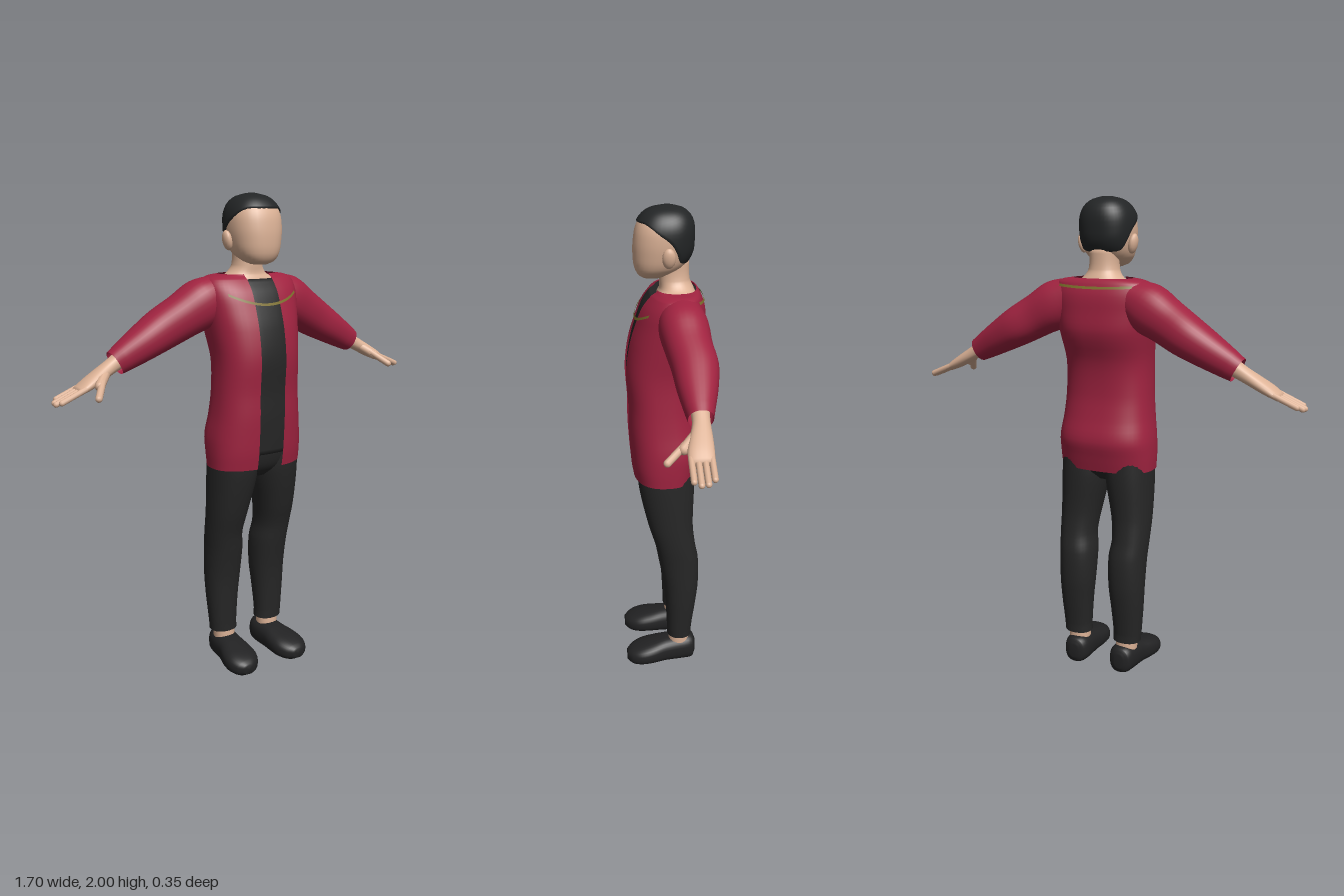
import * as THREE from 'three';
import { mergeVertices } from 'three/addons/utils/BufferGeometryUtils.js';

const mat = (name, color) => new THREE.MeshStandardMaterial({ name, color, side: THREE.DoubleSide });

// Smooth interpolation of rows [key, ...values] at a key
function at(rows, key) {
  let i = 0;
  while (i < rows.length - 2 && key > rows[i + 1][0]) i++;
  const a = rows[i], b = rows[i + 1], h = b[0] - a[0];
  const t = THREE.MathUtils.clamp((key - a[0]) / h, 0, 1);
  const slope = (j, c) => {
    const p = rows[Math.max(j - 1, 0)], q = rows[Math.min(j + 1, rows.length - 1)];
    return (q[c] - p[c]) / (q[0] - p[0]);
  };
  return a.map((v, c) => c === 0 ? key
    : v * (1 + 2 * t) * (1 - t) ** 2 + b[c] * t * t * (3 - 2 * t)
      + h * (slope(i, c) * t * (1 - t) ** 2 + slope(i + 1, c) * t * t * (t - 1)));
}

// Grid surface from fn(i, j) -> [x, y, z]
function grid(fn, nu, nv) {
  const pos = [], idx = [];
  for (let j = 0; j <= nv; j++) for (let i = 0; i <= nu; i++) pos.push(...fn(i, j));
  for (let j = 0; j < nv; j++) for (let i = 0; i < nu; i++) {
    const a = j * (nu + 1) + i, c = a + nu + 1;
    idx.push(a, c, a + 1, a + 1, c, c + 1);
  }
  let g = new THREE.BufferGeometry();
  g.setAttribute('position', new THREE.Float32BufferAttribute(pos, 3));
  g.setIndex(idx);
  g = mergeVertices(g, 1e-5);
  g.computeVertexNormals();
  return g;
}

const spow = (v, e) => Math.sign(v) * Math.abs(v) ** e;

// Point on a cross-section row [y, cx, cz, rx, rz]
function ring([y, cx, cz, rx, rz], th, p, s = 1) {
  return [cx + s * rx * spow(Math.cos(th), 2 / p), y, cz + s * rz * spow(Math.sin(th), 2 / p)];
}

// Loft along y; gap leaves an opening of that half width at the front
function loft(rows, { p = 2.2, n = 32, sub = 4, cap = true, gap = 0, scale = 1 } = {}) {
  const last = (rows.length - 1) * sub, e = cap ? 1 : 0;
  return grid((i, j) => {
    const k = THREE.MathUtils.clamp(j - e, 0, last);
    const r = Math.min(Math.floor(k / sub), rows.length - 2);
    const row = at(rows, THREE.MathUtils.lerp(rows[r][0], rows[r + 1][0], k / sub - r));
    const h = gap ? Math.asin((gap / row[3]) ** (p / 2)) : 0;
    const th = Math.PI / 2 + h + (i % n === 0 && !gap ? 0 : i / n) * (2 * Math.PI - 2 * h);
    return ring(row, th, p, cap && (j === 0 || j === last + 2) ? 0 : scale);
  }, n, last + 2 * e);
}

// Rounded rod between two points
function rod(a, b, r) {
  const A = new THREE.Vector3(...a), B = new THREE.Vector3(...b), d = B.clone().sub(A);
  const g = new THREE.CapsuleGeometry(r, d.length() - r, 5, 10);
  g.applyQuaternion(new THREE.Quaternion().setFromUnitVectors(new THREE.Vector3(0, 1, 0), d.clone().normalize()));
  const c = A.add(B).multiplyScalar(0.5);
  return g.translate(c.x, c.y, c.z);
}

const TORSO = [
  [0.9, 0, 0.002, 0.205, 0.128], [0.96, 0, 0, 0.207, 0.14], [1.03, 0, -0.004, 0.205, 0.15],
  [1.12, 0, 0.008, 0.193, 0.143], [1.22, 0, 0.015, 0.185, 0.136], [1.35, 0, 0.015, 0.182, 0.144],
  [1.47, 0, -0.012, 0.195, 0.155], [1.56, 0, -0.025, 0.205, 0.14], [1.62, 0, -0.035, 0.21, 0.125],
  [1.665, 0, -0.045, 0.2, 0.1], [1.68, 0, -0.05, 0.17, 0.085], [1.686, 0, -0.047, 0.125, 0.08]];
const HEAD = [
  [1.725, 0, 0.045, 0.03, 0.035], [1.738, 0, 0.042, 0.062, 0.058], [1.77, 0, 0.02, 0.09, 0.095],
  [1.82, 0, 0.006, 0.104, 0.114], [1.87, 0, 0.002, 0.109, 0.116], [1.92, 0, -0.003, 0.105, 0.111],
  [1.96, 0, -0.008, 0.086, 0.093], [1.985, 0, -0.01, 0.056, 0.062], [1.997, 0, -0.012, 0.015, 0.02]];
const HAIRLINE = [[-1, 1.785], [-0.55, 1.8], [-0.2, 1.865], [0.3, 1.915], [0.7, 1.938], [1, 1.94]];
const LEG = [
  [0.14, 0.118, -0.06, 0.06, 0.053], [0.18, 0.12, -0.06, 0.061, 0.054], [0.3, 0.12, -0.065, 0.07, 0.065],
  [0.4, 0.117, -0.066, 0.077, 0.075], [0.52, 0.117, -0.055, 0.08, 0.085], [0.6, 0.124, -0.04, 0.077, 0.085],
  [0.7, 0.119, -0.02, 0.084, 0.095], [0.86, 0.103, -0.005, 0.099, 0.115], [0.97, 0.1, 0, 0.098, 0.118]];
const SHOE = [
  [-0.132, 0.11, -0.06, 0.02, 0.03], [-0.12, 0.11, -0.06, 0.045, 0.054], [-0.08, 0.11, -0.061, 0.058, 0.06],
  [0, 0.115, -0.056, 0.063, 0.056], [0.06, 0.122, -0.05, 0.074, 0.05], [0.11, 0.126, -0.044, 0.074, 0.044],
  [0.15, 0.129, -0.038, 0.055, 0.035], [0.174, 0.13, -0.036, 0.024, 0.02]];
const SLEEVE = [
  [-0.09, 0, -0.055, 0.072, 0.08], [0, 0, -0.06, 0.099, 0.095], [0.1, 0, -0.07, 0.09, 0.09],
  [0.2, 0, -0.085, 0.083, 0.087], [0.3, 0, -0.085, 0.071, 0.075], [0.4, 0, -0.083, 0.057, 0.055],
  [0.44, 0, -0.083, 0.05, 0.046]];
const HAND = [
  [0.4, 0, -0.083, 0.035, 0.034], [0.46, 0, -0.082, 0.029, 0.033], [0.52, 0, -0.076, 0.026, 0.041],
  [0.58, 0, -0.07, 0.022, 0.047], [0.63, 0, -0.069, 0.014, 0.045]];

export function createModel() {
  const model = new THREE.Group();
  const red = mat('jacket red', 0xa02340), black = mat('cloth black', 0x262626);
  const hairBlack = mat('hair black', 0x232526), shoeBlack = mat('shoe black', 0x222223);
  const skin = mat('skin', 0xdcb296), gold = mat('braid olive gold', 0x7d6f2c);
  const add = (parent, name, geo, material) => {
    const m = new THREE.Mesh(geo, material);
    m.name = name;
    parent.add(m);
    return m;
  };

  // Torso and clothing
  add(model, 'jacket', loft(TORSO, { p: 2.5, n: 48, cap: false, gap: 0.06 }), red);
  add(model, 'shirt', loft(TORSO.slice(1, 10), { p: 2.5, n: 48, scale: 0.95 }), black);
  add(model, 'trouserSeat', loft([[0.85, 0, 0, 0.07, 0.06], [0.89, 0, 0, 0.16, 0.1],
    [0.94, 0, 0, 0.188, 0.118], [1, 0, 0, 0.19, 0.125]]), black);

  // Thin braid lying on the chest and the upper back
  const braid = (side, yAt) => grid((i, j) => {
    const x = (i / 32 - 0.5) * 0.32, y = yAt(x) + (j - 0.5) * 0.01;
    const [, , cz, rx, rz] = at(TORSO, y);
    const z = rz * (1 - Math.abs(x / rx) ** 2.5) ** 0.4 + 0.005;
    return [x, y, cz + side * z];
  }, 32, 1);
  add(model, 'frontBraid', braid(1, x => 1.57 + 1.6 * x * x), gold);
  add(model, 'backBraid', braid(-1, x => 1.652 + 0.2 * x * x), gold);

  // Head, neck and hair
  add(model, 'neck', loft([[1.64, 0, -0.05, 0.135, 0.082], [1.665, 0, -0.05, 0.122, 0.076],
    [1.686, 0, -0.05, 0.085, 0.067], [1.72, 0, -0.042, 0.062, 0.06], [1.8, 0, -0.04, 0.06, 0.06]]), skin);
  add(model, 'head', loft(HEAD, { p: 2.3 }), skin);
  add(model, 'hair', grid((i, j) => {
    const th = (i % 48) / 48 * 2 * Math.PI, low = at(HAIRLINE, Math.sin(th))[1];
    const t = Math.max(j - 1, 0) / 14;
    const y = THREE.MathUtils.lerp(low, 1.997, Math.sin(Math.min(t, 1) * Math.PI / 2));
    const pt = ring(at(HEAD, y), th, 2.3, j === 0 ? 0.99 : j === 16 ? 0 : 1.05);
    pt[1] += j ? 0.003 : 0;
    return pt;
  }, 48, 16), hairBlack);

  // Paired parts, made for the left and mirrored
  for (const s of [1, -1]) {
    const half = new THREE.Group();
    half.name = s > 0 ? 'leftSide' : 'rightSide';
    half.scale.x = s;
    model.add(half);

    const ear = add(half, 'ear', new THREE.SphereGeometry(1, 14, 10), skin);
    ear.scale.set(0.018, 0.04, 0.026);
    ear.position.set(0.112, 1.818, -0.012);
    ear.rotation.z = -0.2;

    add(half, 'trouserLeg', loft(LEG, { cap: false }), black);
    add(half, 'ankle', loft([[0.06, 0.114, -0.06, 0.045, 0.045], [0.13, 0.115, -0.058, 0.046, 0.045],
      [0.2, 0.117, -0.06, 0.045, 0.042]]), skin);
    add(half, 'shoe', loft(SHOE, { p: 2.5 }), shoeBlack).rotation.x = Math.PI / 2;

    // The arm runs along its own y axis, slanting down and outward
    const arm = new THREE.Group();
    arm.name = 'arm';
    arm.position.set(0.2, 1.575, 0);
    arm.rotation.z = THREE.MathUtils.degToRad(-119);
    half.add(arm);
    add(arm, 'sleeve', loft(SLEEVE, { cap: false }), red);
    add(arm, 'palm', loft(HAND, { n: 20 }), skin);
    [0.715, 0.734, 0.737, 0.722].forEach((end, i) => {
      const z = -0.104 + i * 0.0235;
      add(arm, 'finger', rod([0, 0.6, z], [-0.012, end - 0.006, z], 0.0115), skin);
    });
    add(arm, 'thumbBase', rod([0.002, 0.49, -0.07], [0.015, 0.565, -0.008], 0.02), skin);
    add(arm, 'thumb', rod([0.008, 0.53, -0.03], [0.03, 0.608, 0.05], 0.014), skin);
  }
  return model;
}
